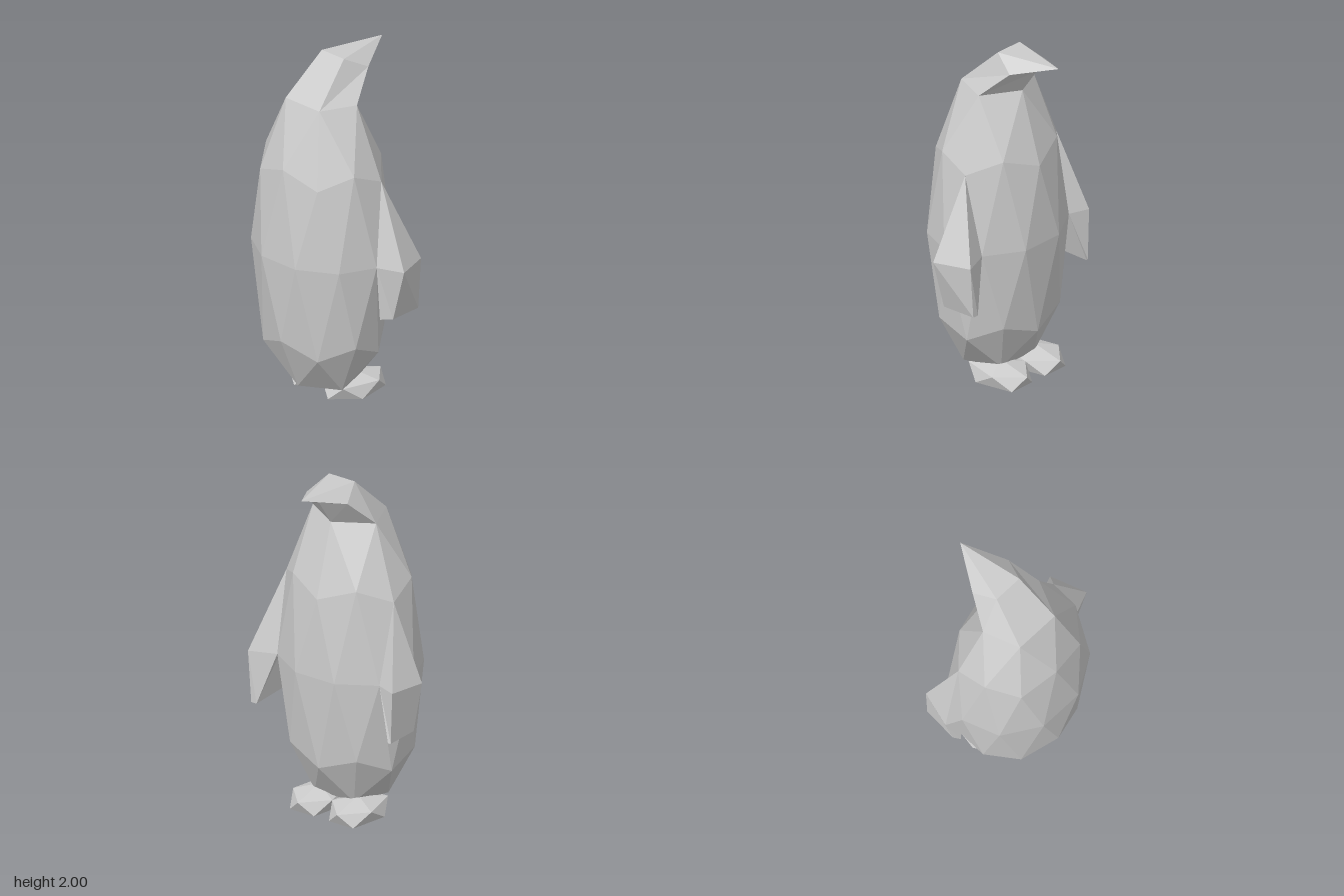
import * as THREE from 'three';

const material = new THREE.MeshStandardMaterial({ color: 0xcccccc, flatShading: true });

// Faceted mesh from a list of convex faces (corners counter-clockwise from outside)
function facetedMesh(name, faces, flip = false) {
  const pos = [];
  for (const f of faces) {
    const face = flip ? [...f].reverse() : f;
    for (let i = 1; i < face.length - 1; i++) pos.push(...face[0], ...face[i], ...face[i + 1]);
  }
  const geo = new THREE.BufferGeometry();
  geo.setAttribute('position', new THREE.Float32BufferAttribute(pos, 3));
  geo.computeVertexNormals();
  const mesh = new THREE.Mesh(geo, material);
  mesh.name = name;
  return mesh;
}

// Ring of n points round an elliptical axis; radii and heights may alternate
function makeRing(n, startDeg, radii, heights, [cx, cz], [rx, rz]) {
  return Array.from({ length: n }, (_, k) => {
    const a = THREE.MathUtils.degToRad(startDeg + (360 / n) * k);
    const r = radii[k % radii.length];
    return [cx + rx * r * Math.cos(a), heights[k % heights.length], cz + rz * r * Math.sin(a)];
  });
}
const at = (ring, k) => ring[(k + ring.length) % ring.length];

// Zigzag strip: the lower ring is turned half a step ahead of the upper one
function zigzag(up, low) {
  return up.flatMap((p, k) => [
    [p, at(up, k + 1), low[k]],
    [p, low[k], at(low, k - 1)],
  ]);
}

// Fans closing a ring to a point above or below
const capTop = (ring, tip) => ring.map((p, k) => [tip, at(ring, k + 1), p]);
const capBottom = (ring, tip) => ring.map((p, k) => [p, at(ring, k + 1), tip]);

const CZ = -0.035;
const centre = [-0.06, CZ], radius = [0.347, 0.42];
const bodyRing = (n, start, radii, heights) => makeRing(n, start, radii, heights, centre, radius);

// Torso: subdivided icosahedron stretched upward with a flattened base
const neck = bodyRing(5, 0, [0.526], [1.775]);
const chest = bodyRing(10, 0, [0.894, 0.85], [1.36, 1.435]);
const waist = bodyRing(10, 18, [1], [0.9]);
const hips = bodyRing(10, 36, [0.894, 0.85], [0.43, 0.35]);
const base = bodyRing(5, 36, [0.526], [0.13]);

function makeTorso() {
  const faces = [...zigzag(chest, waist), ...zigzag(waist, hips)];
  for (let k = 0; k < 5; k++) {
    // neck to chest
    faces.push([neck[k], at(chest, 2 * k), at(chest, 2 * k - 1)]);
    faces.push([neck[k], at(chest, 2 * k + 1), at(chest, 2 * k)]);
    faces.push([neck[k], at(neck, k + 1), at(chest, 2 * k + 1)]);
    // hips to base
    faces.push([at(hips, 2 * k - 1), at(hips, 2 * k), base[k]]);
    faces.push([at(hips, 2 * k), at(hips, 2 * k + 1), base[k]]);
    faces.push([at(hips, 2 * k + 1), at(base, k + 1), base[k]]);
  }
  faces.push(...capBottom(base, [centre[0], 0.12, CZ]));
  return facetedMesh('torso', faces);
}

// Head: five-sided bend from the neck, drawn out to a pointed beak
const brow = [
  [0.23, 1.93, CZ],
  [0.155, 1.93, CZ + 0.135],
  [0.02, 2, CZ + 0.085],
  [0.02, 2, CZ - 0.085],
  [0.155, 1.93, CZ - 0.135],
];
function makeHead() {
  return facetedMesh('head', brow.map((p, k) => [p, at(brow, k + 1), at(neck, k + 1), neck[k]]));
}
function makeBeak() {
  return facetedMesh('beak', capTop(brow, [0.39, 2, CZ]));
}

// Flipper: wedge hung from a shoulder point, with a blade below the elbow
function makeFlipper(name, [shoulder, backRoot, frontRoot], outer, tips, flip) {
  const [backOuter, frontOuter] = outer;
  const [backIn, backOut, frontOut, frontIn] = tips;
  return facetedMesh(name, [
    [shoulder, backOuter, frontOuter],
    [shoulder, backRoot, backOuter],
    [shoulder, frontOuter, frontRoot],
    [backOuter, backOut, frontOut, frontOuter],
    [backRoot, backIn, backOut, backOuter],
    [frontOuter, frontOut, frontIn, frontRoot],
    [backIn, frontIn, frontOut, backOut],
    [backRoot, frontRoot, frontIn, backIn],
  ], flip);
}

// Foot: flattened icosahedron
function makeFoot(name, z) {
  const ring = (start, y) => makeRing(5, start, [0.894], [y], [0.068, z], [0.221, 0.153]);
  const up = ring(0, 0.123), low = ring(36, 0.05);
  return facetedMesh(name, [
    ...capTop(up, [0.068, 0.165, z]),
    ...zigzag(up, low),
    ...capBottom(low, [0.068, 0, z]),
  ]);
}

export function createModel() {
  const model = new THREE.Group();
  model.name = 'bird';
  model.add(makeTorso(), makeHead(), makeBeak());

  // Flippers grow from the shoulder and waist corners of the torso
  model.add(makeFlipper('flipperFront', [chest[2], waist[2], waist[1]],
    [[0, 0.9, 0.535], [0.203, 0.9, 0.457]],
    [[-0.055, 0.6, 0.405], [0, 0.6, 0.45], [0.203, 0.6, 0.435], [0.203, 0.6, 0.4]], false));
  model.add(makeFlipper('flipperBack', [chest[8], waist[7], waist[8]],
    [[-0.018, 0.9, -0.54], [0.185, 0.9, -0.49]],
    [[-0.055, 0.6, -0.46], [-0.018, 0.6, -0.485], [0.185, 0.6, -0.48], [0.19, 0.6, -0.465]], true));

  model.add(makeFoot('footFront', 0.08), makeFoot('footBack', -0.18));
  return model;
}
